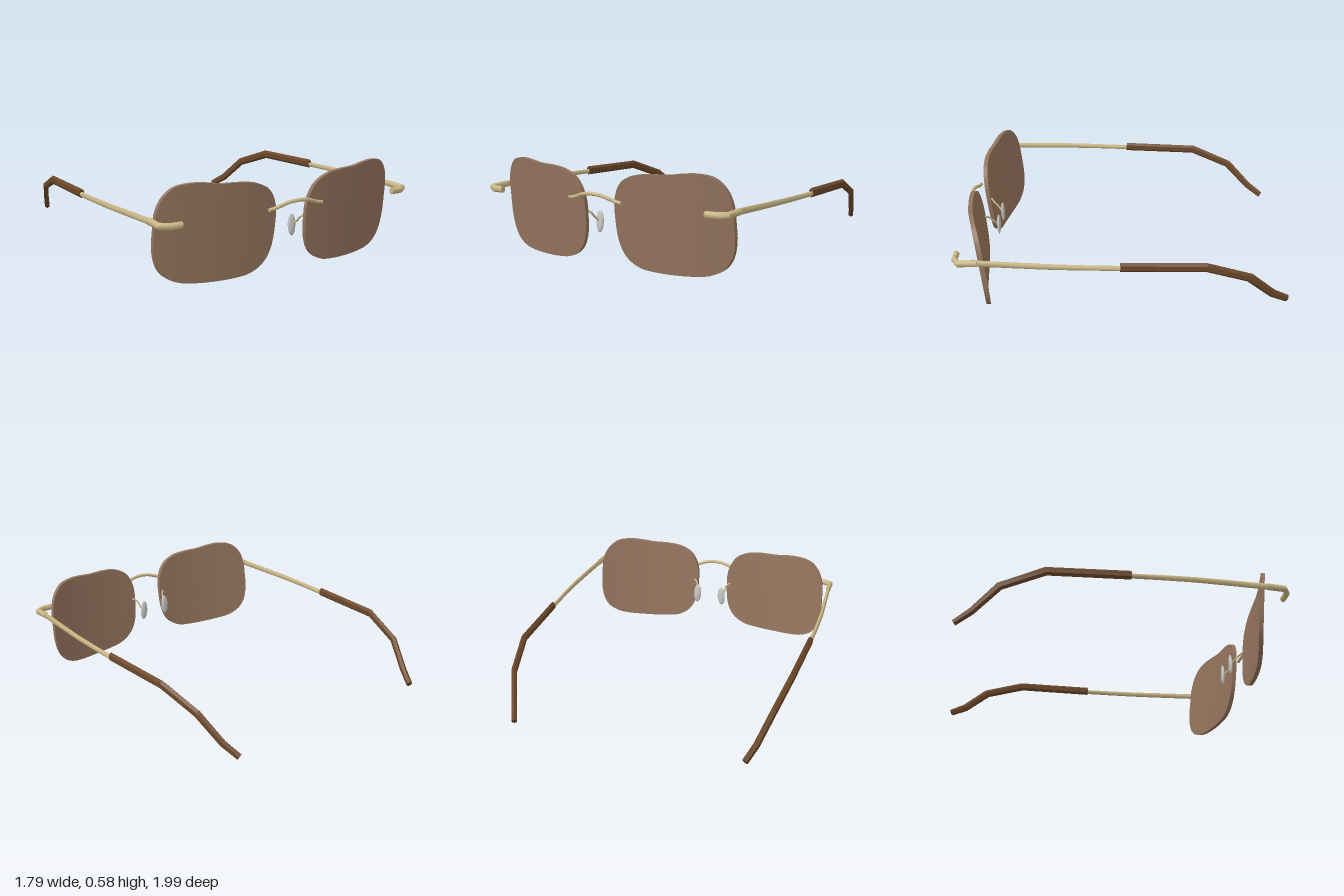
import * as THREE from 'three';
import { toCreasedNormals } from 'three/addons/utils/BufferGeometryUtils.js';

const V = (x, y, z) => new THREE.Vector3(x, y, z);

// Skin a list of closed rings (equal point counts); a crease angle keeps sharp edges
function loft(rings, crease) {
  const n = rings[0].length, pos = [];
  for (let i = 0; i < rings.length - 1; i++) {
    for (let j = 0; j < n; j++) {
      const k = (j + 1) % n;
      const a = rings[i][j], b = rings[i + 1][j], c = rings[i + 1][k], d = rings[i][k];
      for (const p of [a, b, d, b, c, d]) pos.push(p.x, p.y, p.z);
    }
  }
  const g = new THREE.BufferGeometry();
  g.setAttribute('position', new THREE.Float32BufferAttribute(pos, 3));
  g.computeVertexNormals();
  return toCreasedNormals(g, crease);
}

// Sweep an oval section along a path; size(t) gives [half width, half height]
function sweep(path, size, sides, crease = 0.9) {
  const last = path.length - 1, up = V(0, 1, 0);
  const rings = path.map((p, i) => {
    const before = p.clone().sub(path[Math.max(i - 1, 0)]).normalize();
    const after = path[Math.min(i + 1, last)].clone().sub(p).normalize();
    const dir = before.add(after).normalize();
    const side = dir.clone().cross(up).normalize();
    const top = side.clone().cross(dir);
    const [w, h] = size(i / last);
    return Array.from({ length: sides }, (_, j) => {
      const a = ((j + 0.5) / sides) * Math.PI * 2;
      return p.clone().addScaledVector(side, w * Math.cos(a)).addScaledVector(top, h * Math.sin(a));
    });
  });
  const cap = (p) => Array(sides).fill(p);
  return loft([cap(path[0]), ...rings, cap(path[last])], crease);
}

const smooth = (points, n) => new THREE.CatmullRomCurve3(points).getPoints(n);

// Lens outline, counter-clockwise from the front
const OUTLINE = [
  [0.35, 0.003], [0.6, 0.003], [0.7, 0.02], [0.77, 0.06], [0.81, 0.12], [0.83, 0.21],
  [0.83, 0.32], [0.822, 0.43], [0.79, 0.51], [0.73, 0.565], [0.64, 0.582], [0.55, 0.577],
  [0.47, 0.566], [0.35, 0.562], [0.25, 0.547], [0.165, 0.5], [0.118, 0.41], [0.11, 0.3],
  [0.128, 0.15], [0.172, 0.07], [0.25, 0.02],
];

// Wrapped, slightly tilted lens
function lensGeometry(s) {
  const pts = new THREE.CatmullRomCurve3(OUTLINE.map(([x, y]) => V(x, y, 0)), true).getPoints(80);
  pts.pop();
  if (s < 0) pts.reverse();
  const ring = (r, depth) => pts.map((p) => {
    const x = 0.47 + (p.x - 0.47) * r, y = 0.29 + (p.y - 0.29) * r;
    return V(s * x, y, 0.92 - 0.255 * (x - 0.15) ** 2 + 0.1 * (y - 0.29) - depth);
  });
  const steps = [0, 0.2, 0.4, 0.6, 0.8, 1];
  return loft([...steps.map((r) => ring(r, 0)), ...steps.reverse().map((r) => ring(r, 0.026))], 0.7);
}

export function createModel() {
  const material = (name, color) => {
    const m = new THREE.MeshStandardMaterial({ color });
    m.name = name;
    return m;
  };
  const lensTint = material('brown lens', 0x94745d);
  const metal = material('pale gold metal', 0xc9b685);
  const tipBrown = material('dark brown tip', 0x6c482a);
  const padGrey = material('pad grey', 0xc9c9c6);

  const model = new THREE.Group();
  model.name = 'rimlessGlasses';
  const add = (name, geometry, mat) => {
    const mesh = new THREE.Mesh(geometry, mat);
    mesh.name = name;
    model.add(mesh);
    return mesh;
  };

  // Arched bridge
  add('bridge', sweep(smooth([
    V(-0.19, 0.39, 0.965), V(-0.14, 0.4, 0.97), V(-0.07, 0.423, 0.983), V(0, 0.43, 0.988),
    V(0.07, 0.423, 0.983), V(0.14, 0.4, 0.97), V(0.19, 0.39, 0.965),
  ], 24), () => [0.011, 0.011], 10), metal);

  for (const [s, label] of [[1, 'left'], [-1, 'right']]) {
    const path = (points) => points.map(([x, y, z]) => V(s * x, y, z));

    add(label + 'Lens', lensGeometry(s), lensTint);

    // End piece wrapping from the lens front round to the arm
    add(label + 'EndPiece', sweep(path([
      [0.745, 0.384, 0.955], [0.815, 0.384, 0.955], [0.866, 0.386, 0.924], [0.866, 0.391, 0.815],
    ]), () => [0.017, 0.021], 10), metal);

    // Metal arm
    add(label + 'Arm', sweep(path([
      [0.866, 0.391, 0.83], [0.877, 0.388, 0.6], [0.886, 0.385, 0.38], [0.885, 0.382, 0.2], [0.879, 0.378, -0.02],
    ]), (t) => [0.012, 0.019 - 0.004 * t], 8), metal);

    // Bent ear tip
    add(label + 'EarTip', sweep(path([
      [0.879, 0.384, 0], [0.856, 0.377, -0.49], [0.806, 0.284, -0.745], [0.745, 0.142, -0.893], [0.704, 0.084, -0.985],
    ]), (t) => [0.018, 0.029 - 0.007 * t * t], 6, 0.3), tipBrown);

    // Nose pad and its wire
    add(label + 'PadWire', sweep(smooth(path([
      [0.135, 0.31, 0.895], [0.112, 0.295, 0.872], [0.105, 0.265, 0.845], [0.092, 0.238, 0.82],
    ]), 12), () => [0.006, 0.006], 8), metal);
    const pad = add(label + 'NosePad', new THREE.SphereGeometry(1, 20, 14), padGrey);
    pad.scale.set(0.027, 0.068, 0.012);
    pad.position.set(s * 0.09, 0.236, 0.815);
    pad.rotation.z = s * 0.05;
  }
  return model;
}
